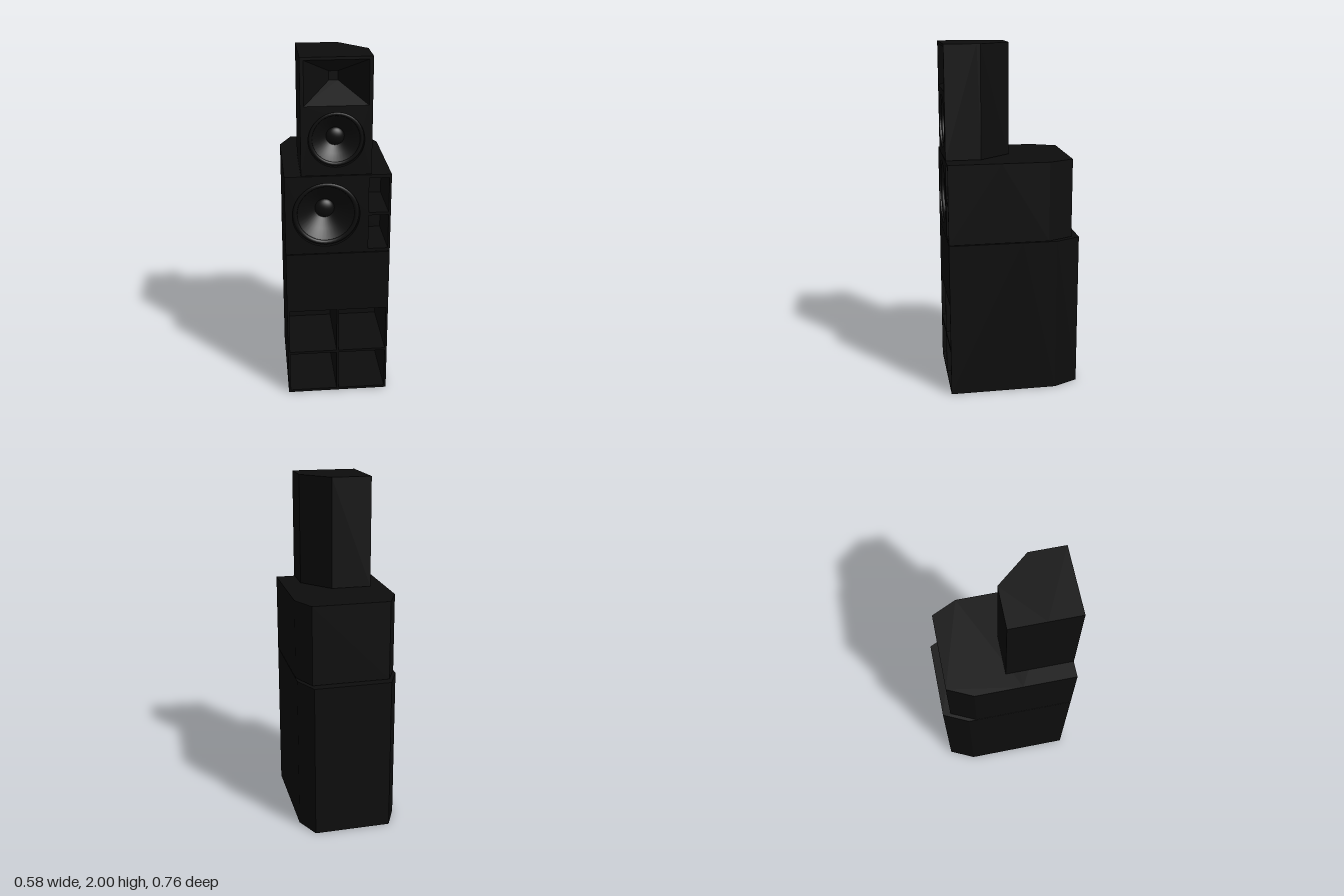
import * as THREE from 'three';

const black = new THREE.MeshStandardMaterial({ color: 0x0d0d0d, side: THREE.DoubleSide });
black.name = 'black paint';

const FRONT = 0.38;

function add(parent, name, geometry, x = 0, y = 0, z = 0) {
  const mesh = new THREE.Mesh(geometry, black);
  mesh.name = name;
  mesh.position.set(x, y, z);
  parent.add(mesh);
  return mesh;
}

function polygon(points) {
  return new THREE.Shape(points.map(([x, y]) => new THREE.Vector2(x, y)));
}

function rectHole(x0, x1, y0, y1) {
  return new THREE.Path([[x0, y0], [x1, y0], [x1, y1], [x0, y1]].map(([x, y]) => new THREE.Vector2(x, y)));
}

function circleHole(x, y, r) {
  return new THREE.Path().absarc(x, y, r, 0, Math.PI * 2, false);
}

// Cabinet: a front slab pierced by the openings, and a rear body with a shaped footprint.
function cabinet(name, x0, x1, y0, y1, slabDepth, rear, holes) {
  const group = new THREE.Group();
  group.name = name;
  const face = polygon([[x0, y0], [x1, y0], [x1, y1], [x0, y1]]);
  face.holes.push(...holes);
  const slab = new THREE.ExtrudeGeometry(face, { depth: slabDepth, bevelEnabled: false, curveSegments: 40 });
  add(group, 'frontBaffle', slab, 0, 0, FRONT - slabDepth);

  const zs = FRONT - slabDepth;
  // Footprint is drawn as (x, -z) and laid down so that it extrudes upwards.
  const foot = polygon([[x0, -zs], [x1, -zs], ...rear.map(([x, z]) => [x, -z])]);
  const body = new THREE.ExtrudeGeometry(foot, { depth: y1 - y0, bevelEnabled: false });
  body.rotateX(-Math.PI / 2);
  add(group, 'rearBody', body, 0, y0, 0);
  return group;
}

// Cone driver: rolled surround, sloping cone and domed dust cap.
function driver(parent, name, x, y, r, depth, capR) {
  const group = new THREE.Group();
  group.name = name;
  group.position.set(x, y, FRONT);
  parent.add(group);
  const surround = new THREE.TorusGeometry(r * 0.92, r * 0.07, 8, 40);
  add(group, 'surround', surround, 0, 0, -0.02);
  const profile = [[capR * 0.9, -depth], [r * 0.6, -depth * 0.62], [r * 0.88, -0.022], [r, -0.02]];
  const cone = new THREE.LatheGeometry(profile.map(([a, b]) => new THREE.Vector2(a, b)), 40);
  cone.rotateX(Math.PI / 2);
  add(group, 'cone', cone);
  const cap = new THREE.SphereGeometry(capR, 28, 8, 0, Math.PI * 2, 0, Math.PI / 2);
  cap.rotateX(Math.PI / 2);
  cap.scale(1, 1, 0.6);
  add(group, 'dustCap', cap, 0, 0, -depth);
}

// Rectangular horn flare tapering from the mouth to a small throat.
function flare(parent, x0, x1, y0, y1, depth) {
  const cx = (x0 + x1) / 2, cy = (y0 + y1) / 2, t = 0.025;
  const mouth = [[x0, y0], [x1, y0], [x1, y1], [x0, y1]];
  const throat = [[-t, -t], [t, -t], [t, t], [-t, t]].map(([x, y]) => [cx + x, cy + y]);
  const positions = [];
  for (let i = 0; i < 4; i++) {
    const j = (i + 1) % 4;
    const a = [...mouth[i], FRONT], b = [...mouth[j], FRONT];
    const c = [...throat[j], FRONT - depth], d = [...throat[i], FRONT - depth];
    positions.push(...a, ...b, ...c, ...a, ...c, ...d);
  }
  const g = new THREE.BufferGeometry();
  g.setAttribute('position', new THREE.Float32BufferAttribute(positions, 3));
  g.computeVertexNormals();
  add(parent, 'hornFlare', g);
  add(parent, 'hornThroat', new THREE.PlaneGeometry(t * 2, t * 2), cx, cy, FRONT - depth);
}

export function createModel() {
  const model = new THREE.Group();
  model.name = 'speakerStack';

  // Bass cabinet with four deep openings
  const cells = [];
  for (const [a, b] of [[-0.278, -0.006], [0.006, 0.278]]) {
    cells.push(rectHole(a, b, 0.015, 0.26), rectHole(a, b, 0.275, 0.545));
  }
  const bass = cabinet('bassCabinet', -0.29, 0.29, 0, 0.902, 0.42,
    [[0.29, -0.235], [0.222, -0.38], [-0.222, -0.38], [-0.29, -0.235]], cells);
  model.add(bass);

  // Sloping ceilings inside the upper bass openings
  for (const side of [-1, 1]) {
    const wedge = new THREE.ExtrudeGeometry(
      polygon([[FRONT - 0.005, 0.544], [-0.04, 0.544], [-0.04, 0.38]]), { depth: 0.272, bevelEnabled: false });
    wedge.rotateY(-Math.PI / 2);
    add(bass, 'slopingCeiling', wedge, side * 0.142 + 0.136);
  }

  // Middle cabinet with a large driver and two ports
  const middle = cabinet('middleCabinet', -0.29, 0.29, 0.906, 1.361, 0.3,
    [[0.29, -0.19], [0.222, -0.335], [-0.222, -0.335], [-0.29, -0.19]],
    [circleHole(-0.065, 1.135, 0.185), rectHole(0.168, 0.278, 0.925, 1.125), rectHole(0.168, 0.278, 1.142, 1.342)]);
  driver(middle, 'largeDriver', -0.065, 1.135, 0.185, 0.11, 0.055);
  model.add(middle);

  // Top cabinet, bevelled at one rear corner only
  const top = cabinet('topCabinet', -0.2, 0.18, 1.365, 2, 0.18,
    [[0.18, 0.18], [0.03, 0], [-0.2, 0]],
    [circleHole(-0.01, 1.56, 0.15), rectHole(-0.18, 0.16, 1.745, 1.985)]);
  driver(top, 'smallDriver', -0.01, 1.56, 0.15, 0.08, 0.05);
  flare(top, -0.18, 0.16, 1.745, 1.985, 0.17);
  model.add(top);

  return model;
}
